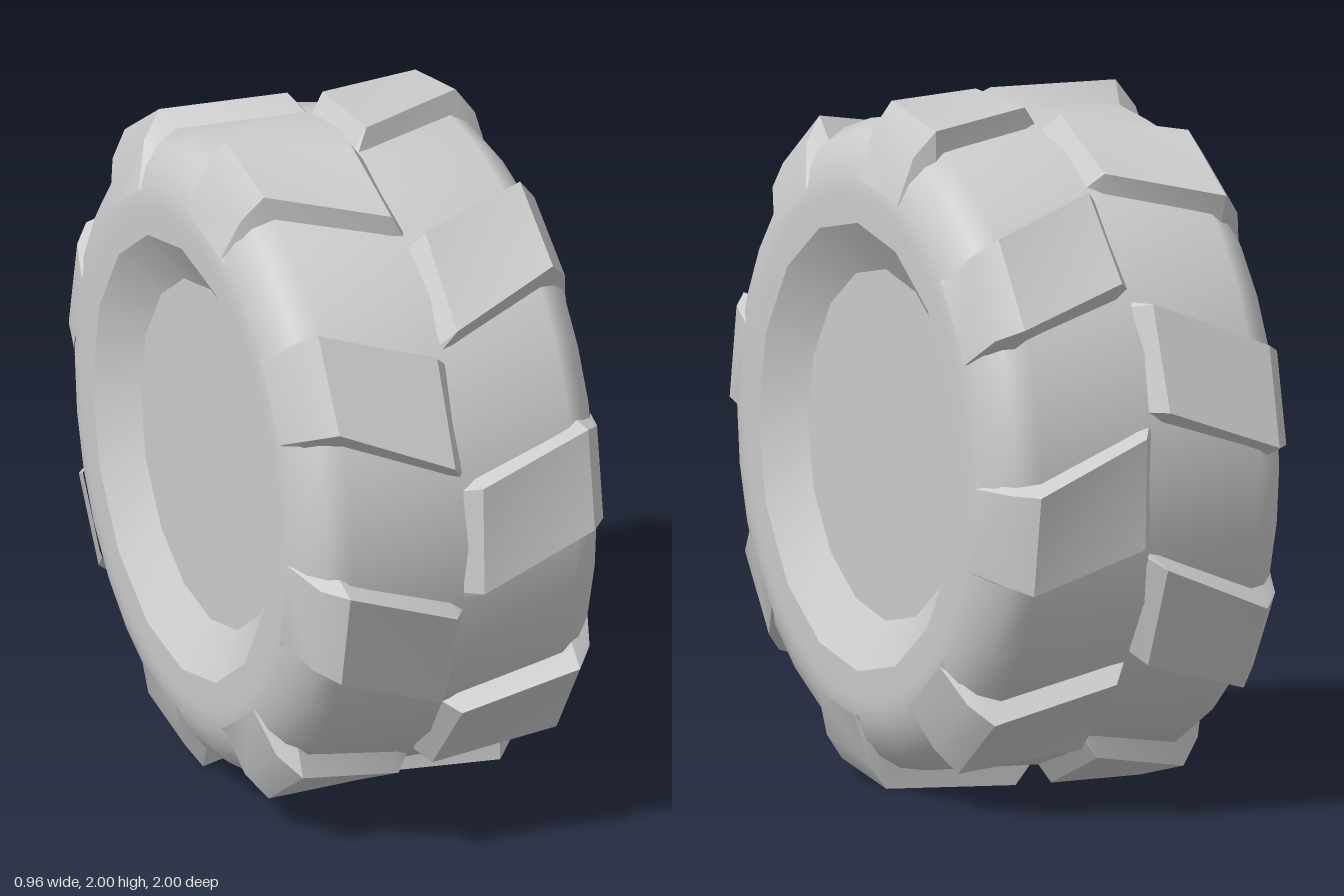
import * as THREE from 'three';
import { toCreasedNormals } from 'three/addons/utils/BufferGeometryUtils.js';

const material = new THREE.MeshStandardMaterial({ color: 0xcccccc });
const RAD = Math.PI / 180;

// Revolve [radius, x] points around the x axis
function revolve(profile, sides) {
  const points = profile.map(([r, x]) => new THREE.Vector2(r, x));
  return new THREE.LatheGeometry(points, sides).rotateZ(-Math.PI / 2);
}

// Cross-sections of one tread block, from the centre line to the shoulder:
// x, foot radius, top radius, lower and upper angle, bevel angle
const sections = [
  [0.0, 0.935, 0.945, -8.5, 10.5, 1.2],
  [0.04, 0.93, 1.0, -7.5, 11, 1.6],
  [0.38, 0.915, 1.0, 1, 18, 1.6],
  [0.44, 0.845, 0.92, 1, 18, 1.6],
  [0.482, 0.775, 0.78, 1, 18, 1.6],
];

// A bevelled block; side is +1 or -1 and turn its angle around the tyre
function treadBlock(side, turn) {
  const positions = [], index = [];
  for (const [x, foot, top, low, high, bevel] of sections) {
    const ring = [[foot, low - bevel], [top, low], [top, high], [foot, high + bevel]];
    for (const [r, angle] of ring) {
      const a = (angle + turn) * RAD;
      positions.push(side * x, r * Math.sin(a), r * Math.cos(a));
    }
  }
  for (let i = 0; i < sections.length - 1; i++) {
    for (let j = 0; j < 3; j++) {
      const a = i * 4 + j, b = a + 4, c = a + 5, d = a + 1;
      if (side > 0) index.push(a, b, c, a, c, d);
      else index.push(a, c, b, a, d, c);
    }
  }
  const geometry = new THREE.BufferGeometry();
  geometry.setAttribute('position', new THREE.Float32BufferAttribute(positions, 3));
  geometry.setIndex(index);
  return toCreasedNormals(geometry, 25 * RAD);
}

export function createModel() {
  const model = new THREE.Group();
  model.name = 'wheel';
  const wheel = new THREE.Group();
  wheel.name = 'tyreAndHubs';
  wheel.position.y = 1;
  model.add(wheel);

  const add = (geometry, name, parent = wheel) => {
    const mesh = new THREE.Mesh(geometry, material);
    mesh.name = name;
    parent.add(mesh);
    return mesh;
  };

  // Smooth tyre body with rounded shoulders
  const half = [[0.945, 0], [0.938, 0.35], [0.9, 0.41], [0.85, 0.45], [0.79, 0.474], [0.74, 0.48], [0.7, 0.48]];
  const mirrored = half.slice(1).reverse().map(([r, x]) => [r, -x]);
  add(revolve([...mirrored, ...half], 32), 'tyreBody');

  // Sixteen-sided recessed hub on each side
  const hub = [[0.725, 0.479], [0.65, 0.48], [0.51, 0.39], [0, 0.39]];
  for (const side of [1, -1]) {
    const geometry = toCreasedNormals(revolve(hub, 16), 20 * RAD);
    const mesh = add(geometry, side > 0 ? 'leftHub' : 'rightHub');
    if (side < 0) mesh.rotation.y = Math.PI;
  }

  // Chevron tread: eight blocks per side, staggered by half a step
  for (const side of [1, -1]) {
    const tread = new THREE.Group();
    tread.name = side > 0 ? 'leftTread' : 'rightTread';
    wheel.add(tread);
    for (let i = 0; i < 8; i++) {
      add(treadBlock(side, i * 45 + (side > 0 ? 0 : 22.5)), 'treadBlock', tread);
    }
  }
  return model;
}
